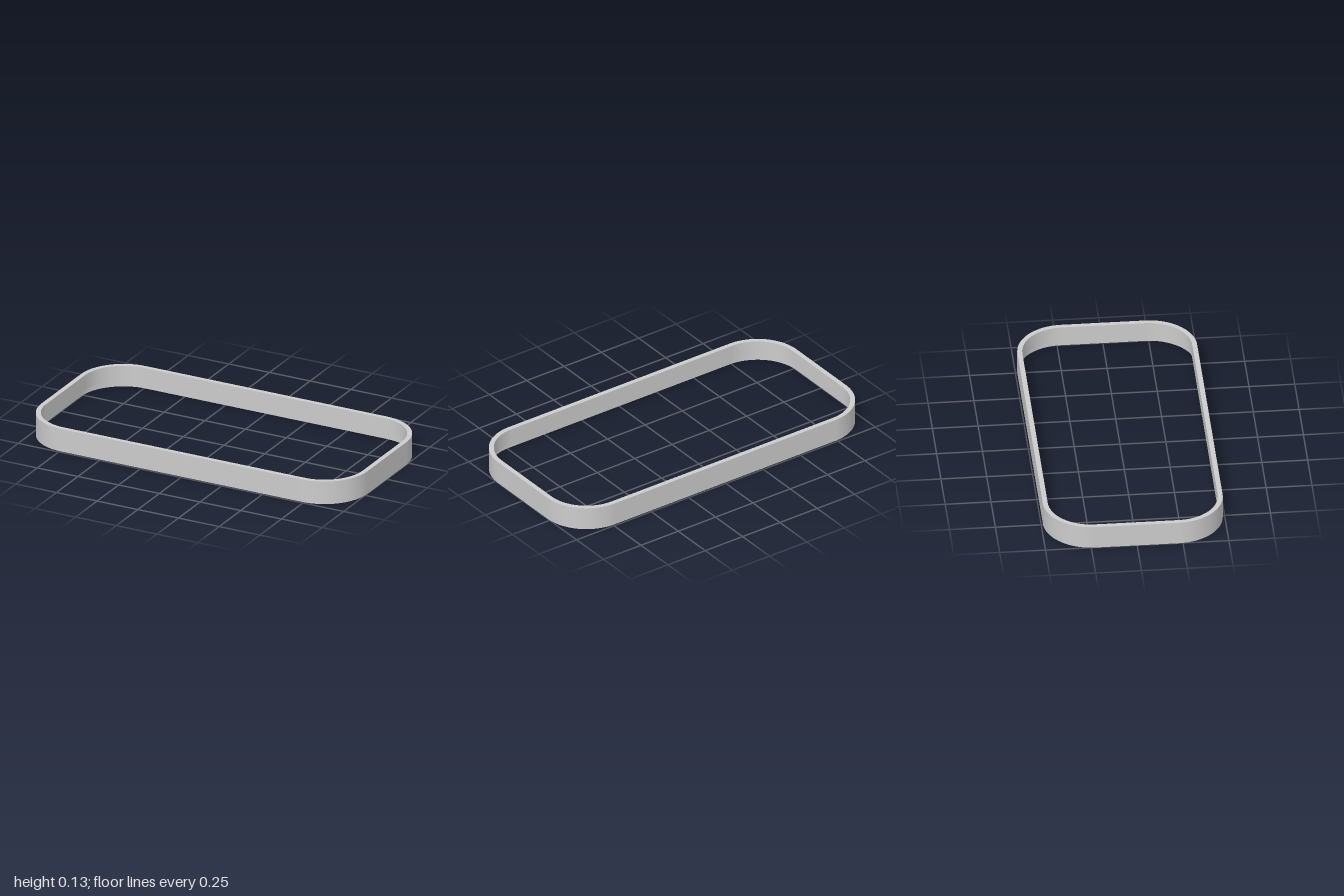
import * as THREE from 'three';

const HALF_X = 1, HALF_Z = 0.49, RADIUS = 0.26, HEIGHT = 0.133;
const RIM = 0.027, HEM = 0.045, STEPS = 24;

// Closed rounded-rectangle loop, moved inward by inset, at height y
function loop(inset, y) {
  const points = [];
  for (let corner = 0; corner < 4; corner++) {
    const cx = (HALF_X - RADIUS) * (corner === 0 || corner === 3 ? 1 : -1);
    const cz = (HALF_Z - RADIUS) * (corner < 2 ? 1 : -1);
    for (let i = 0; i <= STEPS; i++) {
      const a = (corner + i / STEPS) * Math.PI / 2;
      const r = RADIUS - inset;
      points.push(cx + r * Math.cos(a), y, cz + r * Math.sin(a));
    }
  }
  return points;
}

// Smooth band joining two loops
function band(name, from, to, material) {
  const n = from.length / 3, index = [];
  for (let i = 0; i < n; i++) {
    const j = (i + 1) % n;
    index.push(i, n + i, n + j, i, n + j, j);
  }
  const geometry = new THREE.BufferGeometry();
  geometry.setAttribute('position', new THREE.Float32BufferAttribute([...from, ...to], 3));
  geometry.setIndex(index);
  geometry.computeVertexNormals();
  const mesh = new THREE.Mesh(geometry, material);
  mesh.name = name;
  return mesh;
}

export function createModel() {
  const group = new THREE.Group();
  group.name = 'roundedFrame';
  const material = new THREE.MeshStandardMaterial({ color: 0xcccccc, side: THREE.DoubleSide });

  // Full-height outer wall, flat rim, and a shorter inner wall folded down from it
  const outerBottom = loop(0, 0), outerTop = loop(0, HEIGHT);
  const innerTop = loop(RIM, HEIGHT), innerBottom = loop(RIM, HEM);
  group.add(
    band('outerWall', outerBottom, outerTop, material),
    band('topRim', outerTop, innerTop, material),
    band('innerWall', innerTop, innerBottom, material),
  );
  return group;
}
